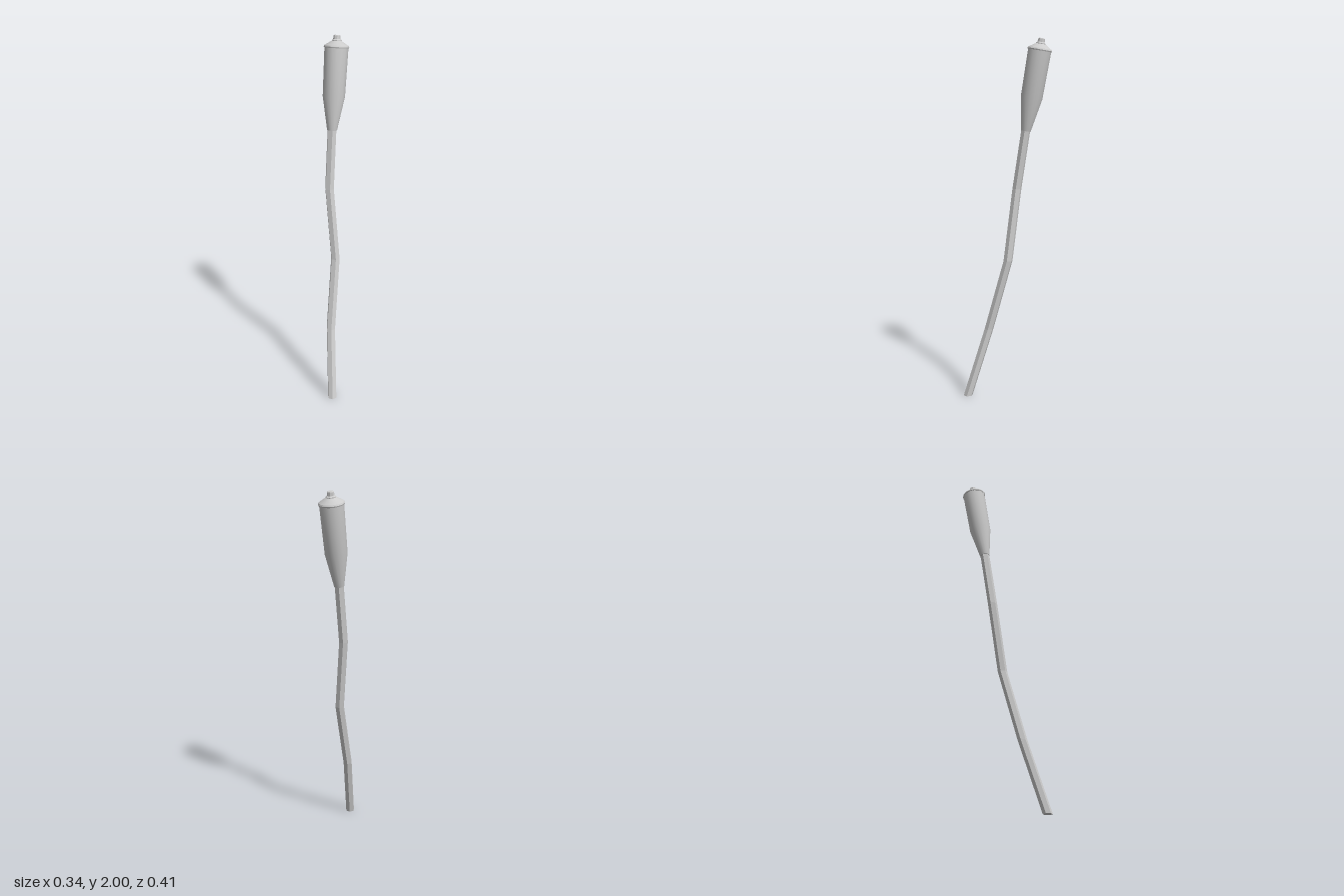
import * as THREE from 'three';
import { toCreasedNormals } from 'three/addons/utils/BufferGeometryUtils.js';

const smooth = new THREE.MeshStandardMaterial({ color: 0xcccccc });
const flat = new THREE.MeshStandardMaterial({ color: 0xcccccc, flatShading: true });

// Bends of the pole, from the ground up into the head
const bends = [
  [0.148, 0, 0.178],
  [0.06, 0.385, 0.092],
  [0.009, 0.78, -0.003],
  [-0.052, 1.18, -0.022],
  [-0.074, 1.52, -0.068],
];

function part(name, geometry, material) {
  const mesh = new THREE.Mesh(geometry, material);
  mesh.name = name;
  return mesh;
}

// Turned part from [radius, height] pairs, with crisp profile edges
function turned(name, profile, sides, material = smooth) {
  const points = profile.map(([r, h]) => new THREE.Vector2(r, h));
  const geometry = new THREE.LatheGeometry(points, sides);
  return part(name, toCreasedNormals(geometry, 0.48), material);
}

// Six-sided pole: each ring of a straight cylinder is moved to its bend
function bentPole() {
  const rows = bends.length - 1;
  const geometry = new THREE.CylinderGeometry(0.026, 0.026, 1, 6, rows, false, THREE.MathUtils.degToRad(48));
  const pos = geometry.attributes.position;
  for (let i = 0; i < pos.count; i++) {
    const [x, y, z] = bends[Math.round((pos.getY(i) + 0.5) * rows)];
    pos.setXYZ(i, pos.getX(i) + x, y, pos.getZ(i) + z);
  }
  geometry.computeVertexNormals();
  return part('pole', geometry, flat);
}

export function createModel() {
  const model = new THREE.Group();
  model.name = 'torch';
  model.add(bentPole());

  // Head, tilted along the last stretch of the pole
  const head = new THREE.Group();
  head.name = 'head';
  head.position.set(-0.073, 1.5, -0.066);
  head.quaternion.setFromUnitVectors(
    new THREE.Vector3(0, 1, 0),
    new THREE.Vector3(-0.068, 1, -0.157).normalize(),
  );

  // Canister with a funnel-shaped lower part
  head.add(turned('canister', [[0, 0], [0.027, 0], [0.06, 0.182], [0.064, 0.442], [0, 0.442]], 16));

  // Lid with an overhanging rim and a sloping top
  head.add(turned('lid', [[0, 0.437], [0.066, 0.437], [0.068, 0.443], [0.064, 0.45], [0.027, 0.473], [0, 0.475]], 16));

  // Faceted wick holder
  head.add(turned('wickHolder', [[0, 0.468], [0.026, 0.468], [0.027, 0.477], [0.02, 0.483], [0.018, 0.501], [0.014, 0.504], [0, 0.504]], 8, flat));

  model.add(head);
  return model;
}
